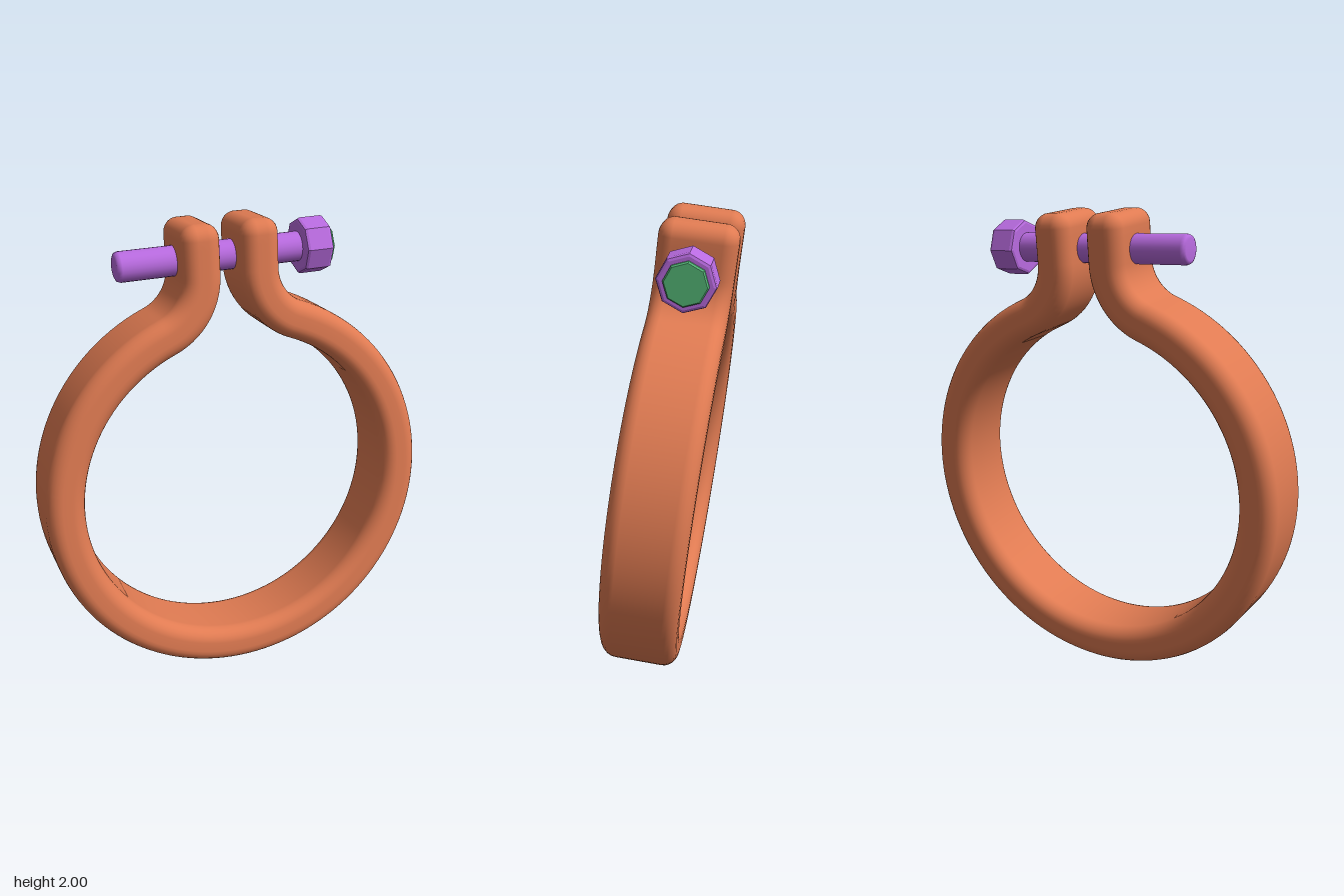
import * as THREE from 'three';

const TILT = 0.116;          // lean of the clamp toward the back
const CY = -0.15, R = 0.763; // ring centre height and centreline radius
const TAB_X = 0.125, TOP = 0.995, BEND = 0.25;
const HALF_T = 0.081, HALF_W = 0.16, ROUND = 0.06;

// Centreline: ring arc, reverse bend, straight tab; mirrored for the other half
function centreline() {
  const bx = TAB_X + BEND, by = CY + Math.sqrt((R + BEND) ** 2 - bx * bx);
  const join = Math.atan2(by - CY, bx);
  const half = [];
  for (let i = 0; i <= 56; i++) {
    const a = -Math.PI / 2 + (join + Math.PI / 2) * i / 56;
    half.push([R * Math.cos(a), CY + R * Math.sin(a)]);
  }
  for (let i = 1; i <= 14; i++) {
    const a = join + Math.PI + (-join) * i / 14;
    half.push([bx + BEND * Math.cos(a), by + BEND * Math.sin(a)]);
  }
  for (let i = 1; i <= 4; i++) half.push([TAB_X, by + (TOP - ROUND - by) * i / 4]);
  return [...half.slice(1).reverse().map(([x, y]) => [-x, y]), ...half];
}

// Rounded rectangle, shrunk by an inset
function section(inset) {
  const pts = [], r = ROUND - inset;
  for (let q = 0; q < 4; q++) {
    const sa = q === 0 || q === 3 ? 1 : -1, sb = q < 2 ? 1 : -1;
    for (let i = 0; i <= 6; i++) {
      const t = (q + i / 6) * Math.PI / 2;
      pts.push([sa * (HALF_T - ROUND) + r * Math.cos(t), sb * (HALF_W - ROUND) + r * Math.sin(t)]);
    }
  }
  return pts;
}

// Sweep the section along the path, with rounded-over ends
function bandGeometry() {
  const path = centreline(), last = path.length - 1, rings = [];
  const STEPS = 6, INSET = ROUND * 0.98;
  const endRing = (p, t, s, dir) => {
    const a = Math.PI / 2 * s / STEPS, d = dir * ROUND * Math.sin(a);
    rings.push({ p: [p[0] + t[0] * d, p[1] + t[1] * d], t, inset: INSET * (1 - Math.cos(a)) });
  };
  for (let s = STEPS; s > 0; s--) endRing(path[0], [0, -1], s, -1);
  path.forEach((p, i) => {
    const a = path[Math.max(i - 1, 0)], b = path[Math.min(i + 1, last)];
    const l = Math.hypot(b[0] - a[0], b[1] - a[1]);
    rings.push({ p, t: [(b[0] - a[0]) / l, (b[1] - a[1]) / l], inset: 0 });
  });
  for (let s = 1; s <= STEPS; s++) endRing(path[last], [0, 1], s, 1);

  const pos = [], idx = [], n = section(0).length;
  for (const { p, t, inset } of rings)
    for (const [a, b] of section(inset)) pos.push(p[0] + t[1] * a, p[1] - t[0] * a, b);
  for (let i = 0; i < rings.length - 1; i++)
    for (let j = 0; j < n; j++) {
      const k = (j + 1) % n, A = i * n, B = A + n;
      idx.push(A + j, B + j, A + k, B + j, B + k, A + k);
    }
  // flat end faces
  const e = (rings.length - 1) * n;
  for (let j = 1; j < n - 1; j++) idx.push(0, j, j + 1, e, e + j + 1, e + j);
  const g = new THREE.BufferGeometry();
  g.setAttribute('position', new THREE.Float32BufferAttribute(pos, 3));
  g.setIndex(idx);
  g.computeVertexNormals();
  return g;
}

// Solid of revolution along x from [radius, x] points
function turned(name, profile, sides, color, flatShading) {
  const g = new THREE.LatheGeometry(profile.map(([r, x]) => new THREE.Vector2(r, x)), sides);
  g.rotateZ(-Math.PI / 2);
  const mesh = new THREE.Mesh(g, new THREE.MeshStandardMaterial({ color, flatShading }));
  mesh.name = name;
  return mesh;
}

export function createModel() {
  const model = new THREE.Group();
  model.name = 'ringClamp';
  const clamp = new THREE.Group();
  clamp.name = 'tiltedClamp';
  clamp.position.y = 1;
  clamp.rotation.x = -TILT;
  model.add(clamp);

  const band = new THREE.Mesh(bandGeometry(), new THREE.MeshStandardMaterial({ color: 0xe07b52 }));
  band.name = 'clampBand';
  clamp.add(band);

  // Screw through both tabs
  const screw = new THREE.Group();
  screw.name = 'screw';
  screw.position.y = 0.841;
  const purple = 0xb96be0;
  screw.add(
    turned('screwShaft', [[0, -0.45], [0.045, -0.45], [0.057, -0.444], [0.062, -0.43], [0.062, 0.35]], 24, purple, false),
    turned('screwHead', [[0, 0.337], [0.103, 0.337], [0.113, 0.341], [0.117, 0.351],
      [0.117, 0.443], [0.113, 0.453], [0.103, 0.457], [0, 0.457]], 8, purple, true),
    turned('screwHeadCap', [[0, 0.45], [0.088, 0.45], [0.088, 0.466], [0.082, 0.473], [0, 0.473]], 8, 0x55b878, true),
  );
  clamp.add(screw);
  return model;
}
